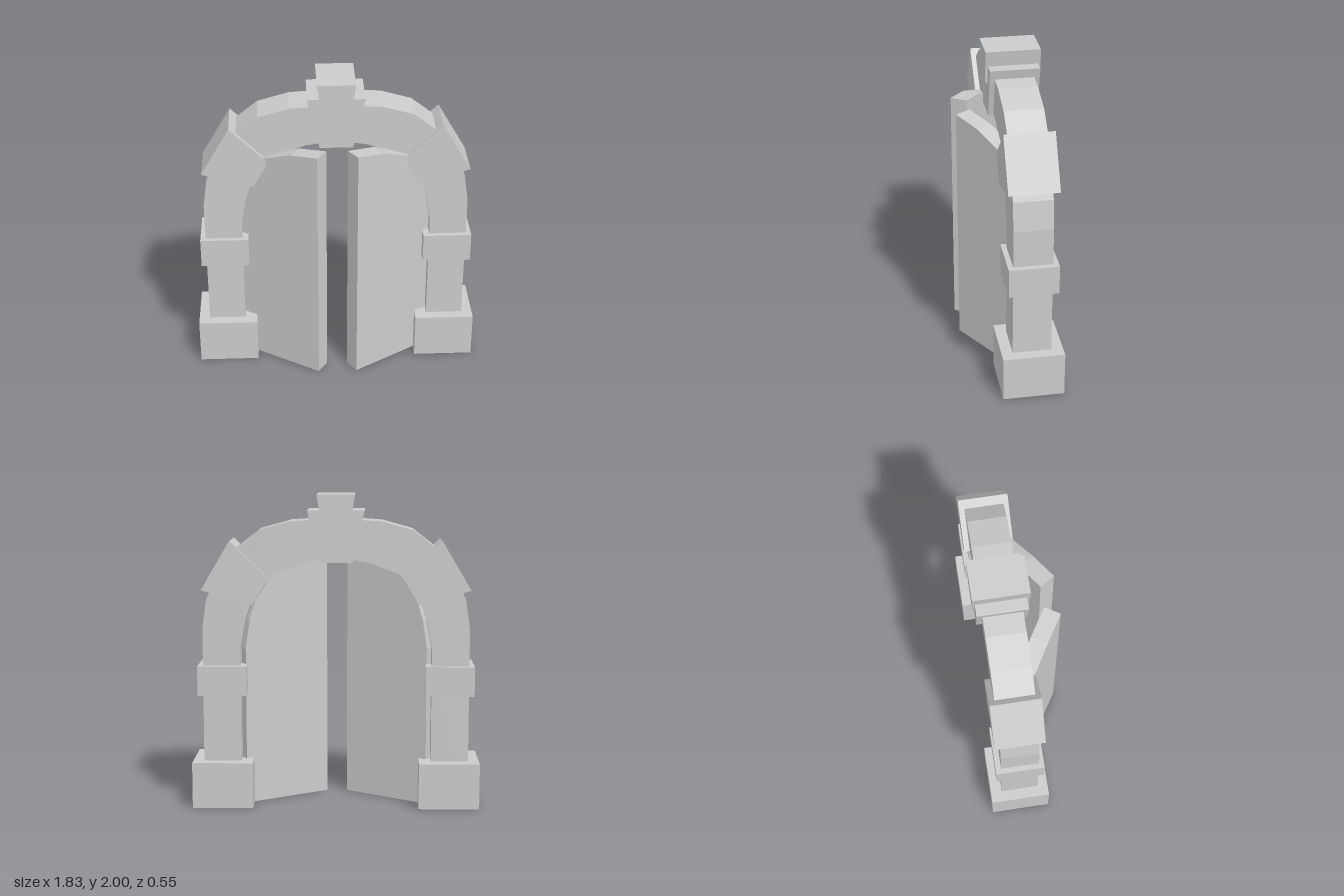
import * as THREE from 'three';

// Half outlines of the arch, from the spring line to the crown
const OUTER = [[0.847, 0], [0.847, 1.155], [0.82, 1.34], [0.68, 1.625], [0.487, 1.775], [0.29, 1.83], [0, 1.85]];
const INNER = [[0.608, 0], [0.608, 1.02], [0.577, 1.2], [0.535, 1.32], [0.4, 1.5], [0.195, 1.575], [0, 1.605]];

const stone = new THREE.MeshStandardMaterial({ color: 0xcccccc, flatShading: true });

const mirror = (pts) => pts.map(([x, y]) => [-x, y]);

// Flat outline extruded between two depths
function slab(name, pts, z0, z1) {
  const shape = new THREE.Shape(pts.map(([x, y]) => new THREE.Vector2(x, y)));
  const geo = new THREE.ExtrudeGeometry(shape, { depth: z1 - z0, bevelEnabled: false });
  geo.translate(0, 0, z0);
  const mesh = new THREE.Mesh(geo, stone);
  mesh.name = name;
  return mesh;
}

// Box given by its limits
function block(name, x0, x1, y0, y1, z0, z1) {
  const mesh = new THREE.Mesh(new THREE.BoxGeometry(x1 - x0, y1 - y0, z1 - z0), stone);
  mesh.position.set((x0 + x1) / 2, (y0 + y1) / 2, (z0 + z1) / 2);
  mesh.name = name;
  return mesh;
}

export function createModel() {
  const model = new THREE.Group();
  model.name = 'archedGateway';

  // Arch with its two pillars: outside up and over, inside back again
  const over = (pts) => [...pts, ...mirror(pts.slice(0, -1)).reverse()];
  model.add(slab('arch', [...over(OUTER), ...over(INNER).reverse()], -0.205, 0.038));

  // Two-layer keystone
  model.add(slab('keystone', [[-0.105, 1.572], [0.105, 1.572], [0.18, 1.9], [-0.18, 1.9]], -0.24, 0.07));
  model.add(slab('keystoneCap', [[-0.085, 1.785], [0.085, 1.785], [0.12, 2], [-0.12, 2]], -0.255, 0.087));

  for (const s of [1, -1]) {
    const side = s > 0 ? 'left' : 'right';
    const half = new THREE.Group();
    half.name = side + 'Side';

    // Base and band of the pillar
    const span = (a, b) => (s > 0 ? [a, b] : [-b, -a]);
    half.add(block(side + 'Base', ...span(0.53, 0.917), 0, 0.295, -0.28, 0.108));
    half.add(block(side + 'Band', ...span(0.568, 0.88), 0.725, 0.915, -0.24, 0.07));

    // Wedge stone on the shoulder of the arch
    const wedge = [[0.667, 1.71], [0.425, 1.474], [0.525, 1.307], [0.85, 1.4]];
    half.add(slab(side + 'Wedge', s > 0 ? wedge : mirror(wedge), -0.24, 0.07));

    // Door leaf filling half of the opening, swung forward on its hinge
    const hingeX = INNER[0][0];
    const leaf = [...INNER, [0, 0]].map(([x, y]) => [s * (x - hingeX), y]);
    const door = slab(side + 'Door', leaf, -0.055, 0.055);
    door.position.set(s * hingeX, 0, -0.1);
    door.rotation.y = s * 0.57;
    half.add(door);

    model.add(half);
  }
  return model;
}
